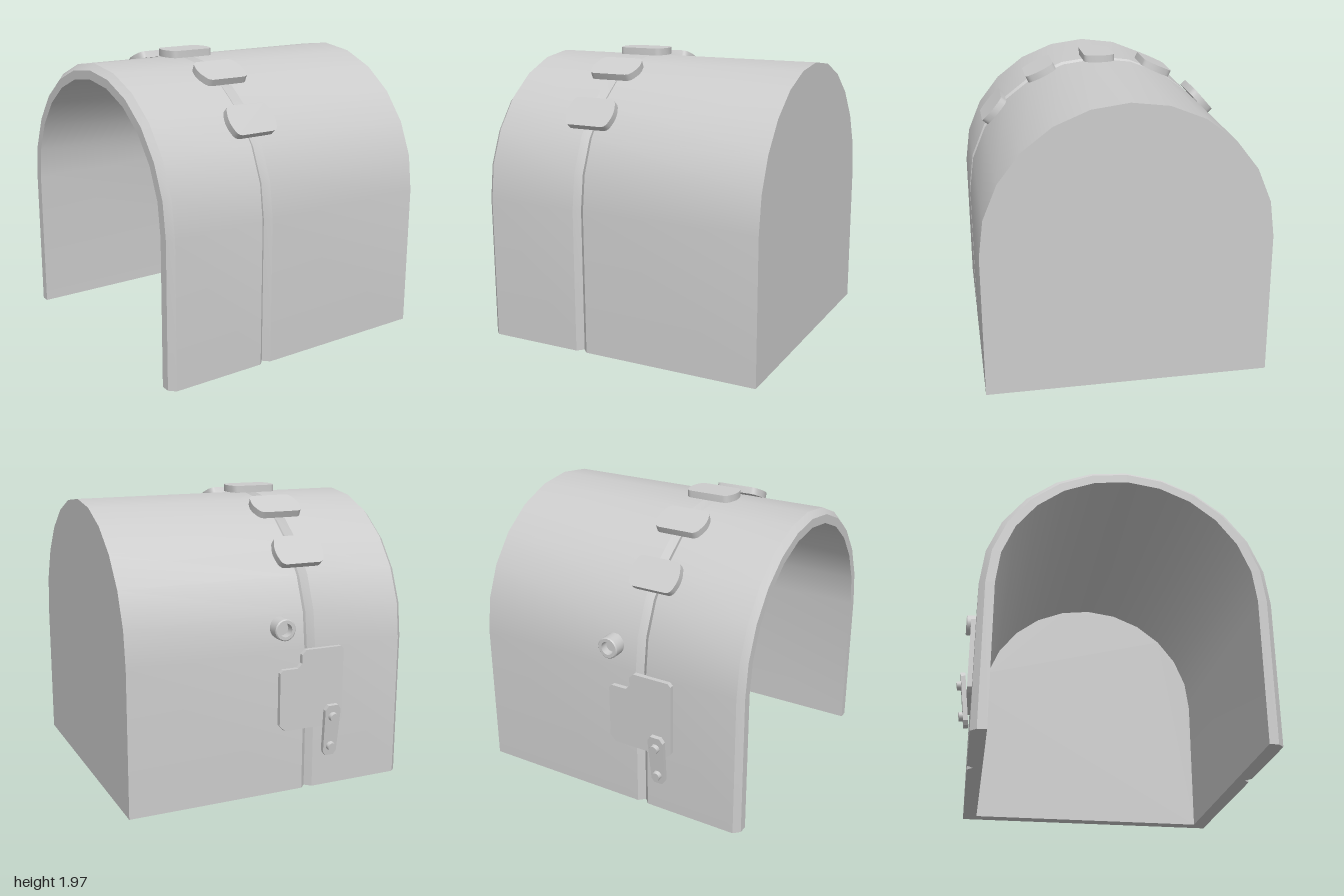
import * as THREE from 'three';
import { toCreasedNormals } from 'three/addons/utils/BufferGeometryUtils.js';

const CZ = 0.05; // middle of the vault in z
const grey = new THREE.MeshStandardMaterial({ color: 0xcccccc, side: THREE.DoubleSide });

function part(name, geometry, parent, crease = 0.5) {
  const mesh = new THREE.Mesh(toCreasedNormals(geometry, crease), grey);
  mesh.name = name;
  parent.add(mesh);
  return mesh;
}

// Arch outline as [z, y], front foot to back foot, shrunk by an inset
function arch(inset) {
  const pts = [[CZ + 0.95 - inset, 0]];
  for (let k = 0; k <= 12; k++) {
    const a = (k * Math.PI) / 12;
    pts.push([CZ + (0.95 - inset) * Math.cos(a), 0.98 + (0.94 - inset) * Math.sin(a)]);
  }
  pts.push([CZ - 0.95 + inset, 0]);
  return pts;
}

// Stations [x, inset]: outside with V groove, chamfered mouth, then the inside
const STATIONS = [[1, 0], [-0.23, 0], [-0.27, 0.04], [-0.31, 0], [-0.96, 0], [-1, 0.04], [-1, 0.1], [0.9, 0.1]];

function shellGeometry() {
  const rings = STATIONS.map(([x, inset]) => arch(inset).map(([z, y]) => [x, y, z]));
  const pos = [];
  for (let i = 0; i < rings.length - 1; i++) {
    for (let j = 0; j < rings[i].length - 1; j++) {
      const a = rings[i][j], b = rings[i + 1][j], c = rings[i + 1][j + 1], d = rings[i][j + 1];
      pos.push(...a, ...d, ...c, ...a, ...c, ...b);
    }
  }
  const g = new THREE.BufferGeometry();
  g.setAttribute('position', new THREE.Float32BufferAttribute(pos, 3));
  return g;
}

// Flat end wall face, side = 1 faces +x and -1 faces -x
function endFace(x, inset, side) {
  const shape = new THREE.Shape(arch(inset).map(([z, y]) => new THREE.Vector2(-side * z, y)));
  return new THREE.ShapeGeometry(shape).rotateY((side * Math.PI) / 2).translate(x, 0, 0);
}

// Underside of the walls
function rimGeometry() {
  const edge = (s) => STATIONS.map(([x, i]) => new THREE.Vector2(x, CZ + s * (0.95 - i)));
  const shape = new THREE.Shape([...edge(1), ...edge(-1).reverse()]);
  return new THREE.ShapeGeometry(shape).rotateX(Math.PI / 2);
}

// Rounded pad with slightly bulging short sides, lying flat
function padGeometry() {
  const s = new THREE.Shape();
  s.moveTo(-0.12, -0.108);
  s.lineTo(0.12, -0.108);
  s.quadraticCurveTo(0.155, -0.106, 0.165, -0.06);
  s.quadraticCurveTo(0.185, 0, 0.165, 0.06);
  s.quadraticCurveTo(0.155, 0.106, 0.12, 0.108);
  s.lineTo(-0.12, 0.108);
  s.quadraticCurveTo(-0.155, 0.106, -0.165, 0.06);
  s.quadraticCurveTo(-0.185, 0, -0.165, -0.06);
  s.quadraticCurveTo(-0.155, -0.106, -0.12, -0.108);
  return new THREE.ExtrudeGeometry(s, { depth: 0.048, bevelEnabled: false, curveSegments: 5 })
    .translate(0, 0, -0.024).rotateX(-Math.PI / 2);
}

function slab(points, depth) {
  const shape = new THREE.Shape(points.map(([x, y]) => new THREE.Vector2(x, y)));
  return new THREE.ExtrudeGeometry(shape, { depth, bevelEnabled: false });
}

export function createModel() {
  const model = new THREE.Group();
  model.name = 'vaultedCover';

  // Vaulted body, open towards -x
  const body = new THREE.Group();
  body.name = 'body';
  model.add(body);
  part('vaultShell', shellGeometry(), body);
  part('endWallOutside', endFace(1, 0, 1), body);
  part('endWallInside', endFace(0.9, 0.1, -1), body);
  part('bottomRim', rimGeometry(), body);

  // Pads bridging the groove: offset from the middle, height, tilt
  for (const [dz, y, tilt] of [[0, 1.947, 0], [0.418, 1.856, 0.43], [0.755, 1.596, 0.855]]) {
    for (const s of dz ? [1, -1] : [1]) {
      const pad = part('strapPad', padGeometry(), model);
      pad.position.set(-0.27, y, CZ + s * dz);
      pad.rotation.x = s * tilt;
    }
  }

  // Hollow socket on the back
  const profile = [[0, 0.055], [0.045, 0.055], [0.045, 0.11], [0.066, 0.11], [0.073, 0.103], [0.073, 0]];
  const socket = part('socket', new THREE.LatheGeometry(
    profile.map(([r, h]) => new THREE.Vector2(r, h)).reverse(), 20), model);
  socket.rotation.x = -Math.PI / 2;
  socket.position.set(-0.057, 1.137, -0.855);

  // Latch plate with a stepped top
  const plate = part('latchPlate', slab([
    [-0.48, 0.44], [-0.08, 0.44], [-0.04, 0.48], [-0.04, 0.84], [-0.06, 0.86], [-0.17, 0.86],
    [-0.2, 0.89], [-0.2, 0.95], [-0.23, 0.98], [-0.49, 0.98], [-0.51, 0.96], [-0.51, 0.47],
  ], 0.035), model);
  plate.position.z = -0.932;

  // Tilted latch lever with two bolts
  const lever = new THREE.Group();
  lever.name = 'latchLever';
  lever.position.set(-0.418, 0.408, -0.944);
  lever.rotation.x = -0.11;
  model.add(lever);
  part('leverBar', slab([
    [-0.03, -0.183], [0.03, -0.183], [0.05, -0.155], [0.058, 0.15], [0.035, 0.183],
    [-0.035, 0.183], [-0.058, 0.15], [-0.05, -0.155],
  ], 0.03).translate(0, 0, -0.015), lever);
  for (const y of [0.103, -0.113]) {
    const bolt = part('bolt', new THREE.CylinderGeometry(0.029, 0.034, 0.05, 16), lever, 0.6);
    bolt.rotation.x = -Math.PI / 2;
    bolt.position.set(0, y, -0.018);
  }
  return model;
}
